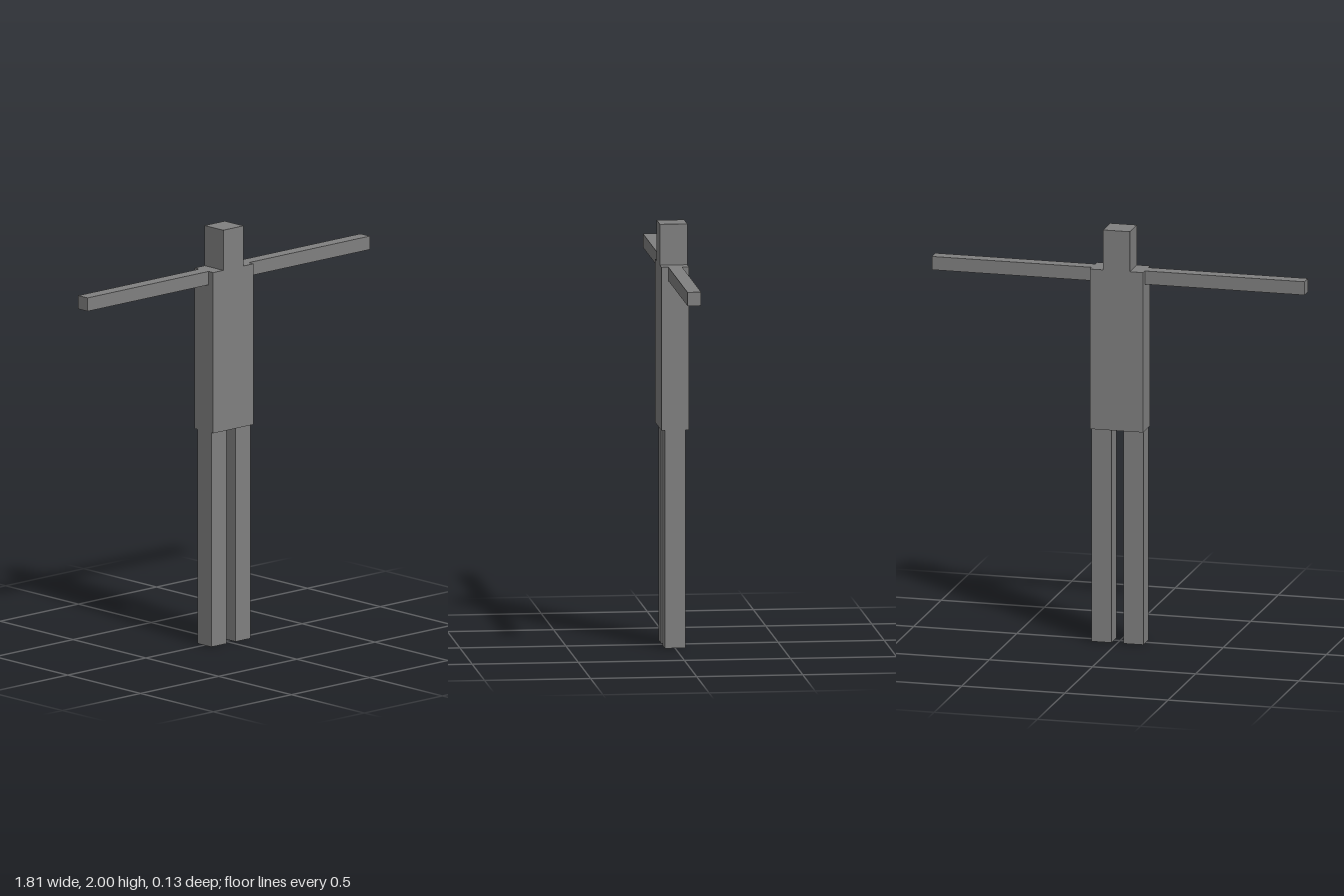
import * as THREE from 'three';

// One proportion unit: the figure is 15.5 units tall, scaled to 2
const U = 2 / 15.5;

export function createModel() {
  const model = new THREE.Group();
  model.name = 'blockFigure';

  const grey = new THREE.MeshStandardMaterial({ color: 0x808080 });
  grey.name = 'grey';

  // Box sized in proportion units, with its base at height y
  function block(name, w, h, d, x, y) {
    const mesh = new THREE.Mesh(new THREE.BoxGeometry(w * U, h * U, d * U), grey);
    mesh.name = name;
    mesh.position.set(x * U, (y + h / 2) * U, 0);
    model.add(mesh);
  }

  block('torso', 2, 6, 1, 0, 8);
  block('head', 1, 1.5, 1, 0, 14);

  // Mirrored limbs: arms stretched sideways, flush with the shoulder top
  for (const [side, s] of [['left', 1], ['right', -1]]) {
    block(side + 'Arm', 6, 0.5, 0.5, s * 4, 13.5);
    block(side + 'Leg', 0.75, 8, 0.75, s * 0.6, 0);
  }

  return model;
}
